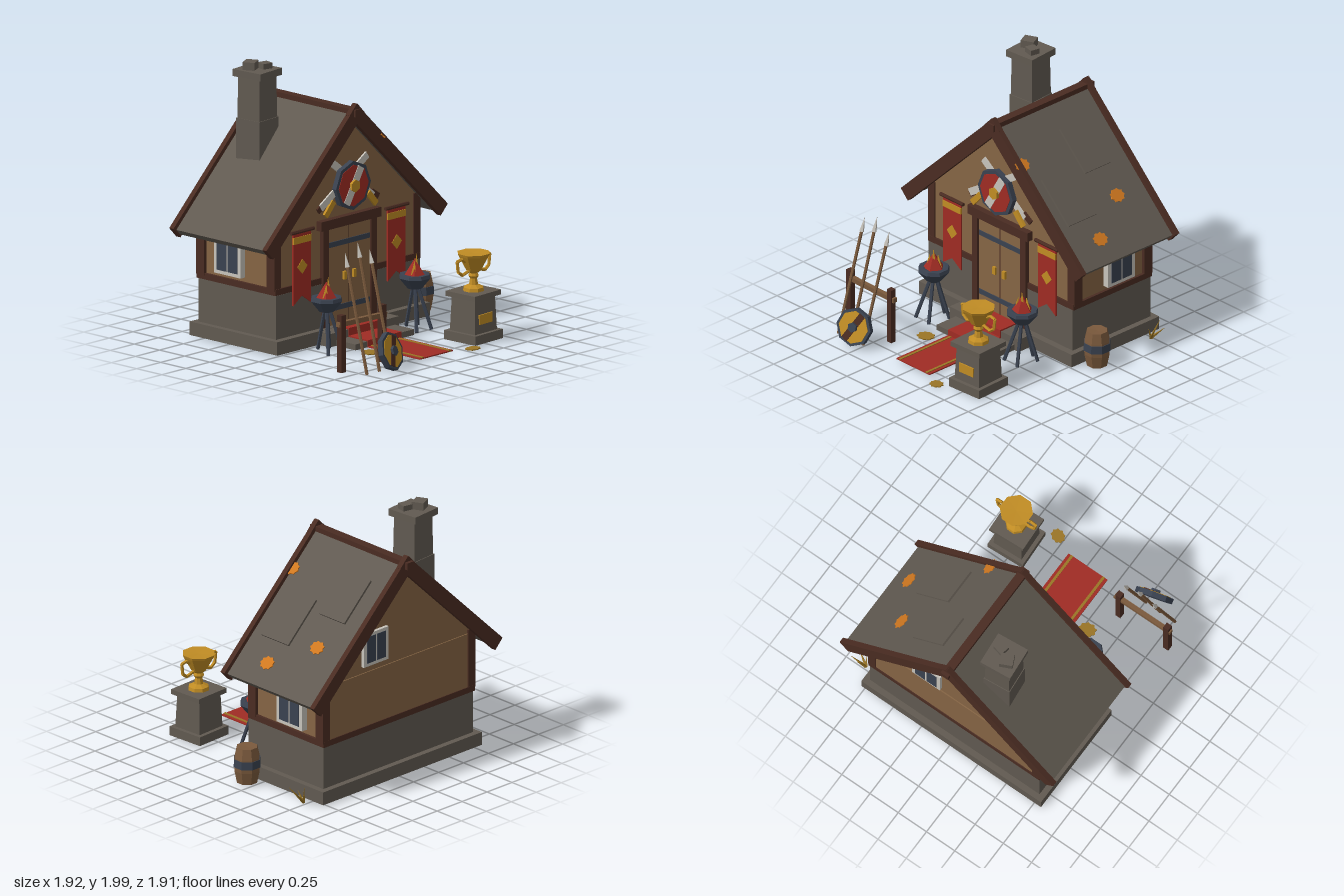
import * as THREE from 'three';

const mat = (name, color) => { const m = new THREE.MeshStandardMaterial({ color }); m.name = name; return m; };

export function createModel() {
  const stone = mat('stone', 0x615a51), dark = mat('dark timber', 0x4a2c22), plaster = mat('tan boards', 0x866544),
    brown = mat('brown wood', 0x7a593c), gold = mat('gold', 0xc08c24), straw = mat('dull straw', 0x9a7526),
    red = mat('red', 0xa02c24), steel = mat('blue steel', 0x3a4250), silver = mat('pale silver', 0xc8c4bc),
    orange = mat('autumn orange', 0xd07820);
  const root = new THREE.Group();
  const C = -0.015; // house centre line

  // Faceted mesh helper
  const add = (name, geo, m, p = [0, 0, 0], r = [0, 0, 0], parent = root) => {
    const g = geo.index ? geo.toNonIndexed() : geo;
    g.computeVertexNormals();
    const mesh = new THREE.Mesh(g, m);
    mesh.name = name; mesh.position.set(...p); mesh.rotation.set(...r);
    parent.add(mesh);
    return mesh;
  };
  const group = (name, p, r = [0, 0, 0]) => {
    const g = new THREE.Group();
    g.name = name; g.position.set(...p); g.rotation.set(...r); root.add(g);
    return g;
  };
  // Box from its minimum and maximum corners
  const block = (name, m, x0, x1, y0, y1, z0, z1, parent) =>
    add(name, new THREE.BoxGeometry(x1 - x0, y1 - y0, z1 - z0), m, [(x0 + x1) / 2, (y0 + y1) / 2, (z0 + z1) / 2], [0, 0, 0], parent);
  // Round rod between two points
  const rod = (name, m, a, b, r0, r1 = r0, sides = 6, parent = root) => {
    const A = new THREE.Vector3(...a), B = new THREE.Vector3(...b), d = B.clone().sub(A);
    const mesh = add(name, new THREE.CylinderGeometry(r1, r0, d.length(), sides), m, A.clone().add(B).multiplyScalar(0.5).toArray(), [0, 0, 0], parent);
    mesh.quaternion.setFromUnitVectors(new THREE.Vector3(0, 1, 0), d.normalize());
  };
  // Flat bar lying in the front plane
  const bar = (name, m, x0, y0, x1, y1, w, z, depth, parent) =>
    add(name, new THREE.BoxGeometry(Math.hypot(x1 - x0, y1 - y0), w, depth), m, [(x0 + x1) / 2, (y0 + y1) / 2, z], [0, 0, Math.atan2(y1 - y0, x1 - x0)], parent);
  const plate = (pts, depth) => new THREE.ExtrudeGeometry(new THREE.Shape(pts.map(p => new THREE.Vector2(...p))), { depth, bevelEnabled: false });
  const lathe = (pts, sides) => new THREE.LatheGeometry(pts.map(p => new THREE.Vector2(...p)), sides);

  // Plinth frame, open underneath
  for (const s of [-1, 1]) block('plinthSide', stone, C + s * 0.77 - 0.025, C + s * 0.77 + 0.025, 0.015, 0.115, -0.87, 0);
  for (const z of [-0.87, -0.055]) block('plinthEnd', stone, C - 0.745, C + 0.745, 0.015, 0.115, z, z + 0.055);

  // Walls and timber frame
  block('stoneBase', stone, C - 0.75, C + 0.75, 0.06, 0.44, -0.825, -0.053);
  block('sillBeam', dark, C - 0.757, C + 0.757, 0.44, 0.485, -0.837, -0.055);
  block('walls', plaster, C - 0.735, C + 0.735, 0.46, 0.9, -0.83, -0.07);
  add('gable', plate([[-0.735, 0.9], [0.735, 0.9], [0.735, 0.93], [0, 1.64], [-0.735, 0.93]], 0.752), plaster, [C, 0, -0.822]);
  for (const s of [-1, 1]) for (const z of [-0.098, -0.797])
    add('cornerPost', new THREE.BoxGeometry(0.07, 0.46, 0.078), dark, [C + s * 0.727, 0.7, z]);

  // Roof slopes, verge boards and ridge
  const A = 44 * Math.PI / 180, cos = Math.cos(A), sin = Math.sin(A);
  const onRoof = (name, geo, m, s, u, v, z) =>
    add(name, geo, m, [C + s * (cos * u + sin * v), 1.697 - sin * u + cos * v, z], [0, 0, -s * A]);
  for (const s of [-1, 1]) {
    onRoof('roofSlope', new THREE.BoxGeometry(1.272, 0.055, 0.9), stone, s, 0.636, -0.0275, -0.45);
    for (const z of [0.015, -0.908])
      onRoof('vergeBoard', new THREE.BoxGeometry(1.32, 0.105, 0.042), dark, s, 0.625, -0.0225, z);
  }
  block('ridgeBeam', dark, C - 0.033, C + 0.033, 1.65, 1.703, -0.955, 0.05);
  onRoof('roofPatch', new THREE.BoxGeometry(0.39, 0.02, 0.28), stone, 1, 0.715, 0.006, -0.235);
  onRoof('roofPatch', new THREE.BoxGeometry(0.37, 0.02, 0.255), stone, 1, 0.42, 0.006, -0.6);

  // Fallen leaves on roof and ground
  const leaf = (rx, rz) => {
    const pts = [];
    for (let i = 0; i < 18; i++) {
      const t = i / 18 * Math.PI * 2, k = i % 2 ? 0.82 : 1;
      pts.push([Math.cos(t) * rx * k, Math.sin(t) * rz * k]);
    }
    return plate(pts, 0.008).rotateX(-Math.PI / 2);
  };
  for (const [d, z] of [[0.262, -0.012], [0.608, -0.625], [0.783, -0.29]])
    onRoof('roofLeaf', leaf(0.055, 0.065), orange, 1, d / cos, 0.007, z);
  add('groundLeaf', leaf(0.07, 0.058), straw, [-0.29, 0.016, 0.425], [0.04, 0.3, 0]);
  add('groundLeaf', leaf(0.06, 0.05), straw, [0.3, 0.016, 0.885], [0, -0.3, 0.04]);

  // Chimney
  const chimney = group('chimney', [-0.33, 0, -0.655], [0, 0.09, 0]);
  block('chimneyBase', stone, -0.108, 0.108, 1.1, 1.58, -0.108, 0.108, chimney);
  add('chimneyShaft', new THREE.CylinderGeometry(0.137, 0.145, 0.34, 4).rotateY(Math.PI / 4), stone, [0, 1.74, 0], [0, 0, 0], chimney);
  block('chimneyCap', stone, -0.125, 0.125, 1.89, 1.942, -0.128, 0.128, chimney);
  add('chimneyStone', new THREE.BoxGeometry(0.1, 0.06, 0.09), stone, [-0.04, 1.97, -0.03], [0, 0.35, 0], chimney);
  add('chimneyStone', new THREE.BoxGeometry(0.08, 0.045, 0.075), stone, [0.045, 1.96, 0.035], [0, -0.3, 0], chimney);

  // Double door
  block('door', plaster, C - 0.23, C + 0.23, 0.11, 0.85, -0.1, -0.049);
  block('doorGap', dark, C - 0.003, C + 0.003, 0.11, 0.85, -0.06, -0.047);
  for (const y of [0.24, 0.715]) block('doorStrap', steel, C - 0.215, C + 0.215, y - 0.019, y + 0.019, -0.06, -0.042);
  for (const s of [-1, 1]) {
    block('doorPost', dark, C + s * 0.25 - 0.028, C + s * 0.25 + 0.028, 0.11, 0.85, -0.1, -0.033);
    block('doorHandle', gold, C + s * 0.05 - 0.014, C + s * 0.05 + 0.014, 0.438, 0.497, -0.06, -0.03);
  }
  block('doorLintel', dark, C - 0.312, C + 0.312, 0.84, 0.91, -0.1, -0.02);

  // Windows on both sides and the back
  const windowAt = (p, ry, scale) => {
    const g = group('window', p, [0, ry, 0]);
    g.scale.setScalar(scale);
    block('windowFrame', silver, -0.133, 0.133, -0.137, 0.137, -0.02, 0.04, g);
    for (const s of [-1, 1]) block('windowPane', steel, s * 0.054 - 0.047, s * 0.054 + 0.047, -0.11, 0.11, 0.03, 0.044, g);
  };
  windowAt([C + 0.743, 0.655, -0.508], Math.PI / 2, 1);
  windowAt([C - 0.743, 0.655, -0.508], -Math.PI / 2, 1);
  windowAt([0.225, 1.08, -0.81], Math.PI, 0.93);

  // Steps and carpet
  block('upperStep', stone, -0.375, 0.345, 0.015, 0.113, 0, 0.11);
  block('lowerStep', stone, -0.31, 0.3, 0.015, 0.058, 0.05, 0.3);
  block('carpetUpper', red, -0.185, 0.16, 0.016, 0.125, -0.05, 0.118);
  block('carpetLower', red, -0.185, 0.16, 0.016, 0.068, 0, 0.308);
  block('carpetRunner', red, -0.185, 0.16, 0.014, 0.023, 0.3, 0.82);
  for (const x of [-0.152, 0.128]) block('carpetTrim', straw, x - 0.01, x + 0.01, 0.014, 0.028, 0.312, 0.82);

  // Banners
  for (const x of [-0.507, 0.478]) {
    rod('bannerRod', dark, [x - 0.12, 0.878, -0.04], [x + 0.12, 0.878, -0.04], 0.014);
    add('bannerCloth', plate([[-0.092, 0.87], [-0.092, 0.335], [0, 0.4], [0.092, 0.335], [0.092, 0.87]], 0.012), red, [x, 0, -0.053]);
    block('bannerStripe', gold, x - 0.093, x + 0.093, 0.79, 0.84, -0.05, -0.036);
    add('bannerDiamond', plate([[-0.052, 0.615], [0, 0.56], [0.052, 0.615], [0, 0.67]], 0.006), gold, [x, 0, -0.043]);
  }

  // Crossed blades and shields
  bar('blade', silver, -0.19, 1.322, 0.24, 1.0, 0.055, -0.05, 0.014);
  bar('blade', silver, 0.165, 1.322, -0.315, 1.012, 0.055, -0.036, 0.014);
  for (const s of [-1, 1]) {
    bar('guard', dark, C + s * 0.24, 1.035, C + s * 0.315, 0.985, 0.042, -0.055, 0.016);
    bar('grip', gold, C + s * 0.18, 1.04, C + s * 0.265, 0.945, 0.045, -0.028, 0.02);
  }
  const shield = (name, p, r, rot, face, bandMat, bossMat) => {
    const g = group(name, p, rot);
    const disc = (n, m, rad, d, z, sides) => add(n, new THREE.CylinderGeometry(rad, rad, d, sides).rotateX(Math.PI / 2), m, [0, 0, z], [0, 0, 0], g);
    disc('shieldRim', steel, r, 0.04, 0, 8);
    disc('shieldFace', face, r * 0.85, 0.01, 0.019, 8);
    bar('shieldBand', bandMat, -r * 0.41, -r * 0.7, r * 0.41, r * 0.7, r * 0.36, 0.024, 0.008, g);
    disc('shieldBoss', bossMat, r * 0.26, 0.03, 0.03, 6);
  };
  shield('gableShield', [C, 1.13, -0.02], 0.182, [0, 0, 0], red, silver, gold);
  shield('leaningShield', [-0.555, 0.157, 0.88], 0.143, [-0.3, 0.26, 0, 'YXZ'], gold, dark, steel);

  // Spear rack
  for (const x of [-0.832, -0.408]) block('rackPost', dark, x - 0.022, x + 0.022, 0.015, 0.44, 0.635, 0.68);
  bar('rackRail', brown, -0.865, 0.372, -0.37, 0.36, 0.036, 0.655, 0.035);
  for (const [x, top] of [[-0.75, 0.875], [-0.62, 0.93], [-0.495, 0.855]]) {
    const a = new THREE.Vector3(x - 0.012, 0.015, 0.845), b = new THREE.Vector3(x + 0.01, top, 0.605);
    const at = t => a.clone().lerp(b, t).toArray();
    rod('spearShaft', brown, at(0), at(0.89), 0.012);
    rod('spearHead', silver, at(0.88), at(1), 0.019, 0.001, 5);
  }

  // Braziers
  for (const x of [-0.475, 0.445]) {
    const g = group('brazier', [x, 0, 0.17]);
    for (const [lx, lz] of [[-0.085, 0.1], [0.06, 0.11], [0.095, -0.06], [0.01, -0.095]])
      rod('brazierLeg', steel, [lx, 0.015, lz], [lx * 0.1, 0.36, lz * 0.1], 0.014, 0.014, 5, g);
    add('brazierBowl', lathe([[0, 0.315], [0.055, 0.315], [0.12, 0.395], [0.112, 0.42], [0.085, 0.42], [0, 0.4]], 8), steel, [0, 0, 0], [0, 0.39, 0], g);
    add('embers', new THREE.ConeGeometry(0.085, 0.13, 5), red, [0, 0.47, 0], [0, 0.4, 0], g);
    for (const [fx, fz, h] of [[0.01, 0.01, 0.15], [-0.035, 0.02, 0.1], [0.035, -0.02, 0.1]])
      rod('flame', gold, [fx, 0.42, fz], [fx * 0.6, 0.42 + h, fz], 0.027, 0.001, 4, g);
  }

  // Pedestal with trophy
  const ped = group('pedestal', [0.52, 0, 0.68], [0, 0.05, 0]);
  block('pedestalFoot', stone, -0.15, 0.15, 0.015, 0.083, -0.15, 0.15, ped);
  add('pedestalColumn', new THREE.CylinderGeometry(0.155, 0.17, 0.26, 4).rotateY(Math.PI / 4), stone, [0, 0.21, 0], [0, 0, 0], ped);
  block('pedestalCap', stone, -0.145, 0.145, 0.338, 0.375, -0.138, 0.138, ped);
  block('plaque', gold, -0.075, 0.065, 0.15, 0.222, 0.1, 0.124, ped);
  const cup = group('trophy', [0.522, 0, 0.68]);
  add('trophyCup', lathe([[0, 0.375], [0.08, 0.375], [0.075, 0.4], [0.035, 0.42], [0.026, 0.465], [0.04, 0.485], [0.03, 0.505],
    [0.055, 0.525], [0.115, 0.635], [0.123, 0.655], [0, 0.65]], 8), gold, [0, 0, 0], [0, Math.PI / 8, 0], cup);
  const handle = [[0.09, 0.6], [0.125, 0.625], [0.17, 0.615], [0.16, 0.535], [0.12, 0.505], [0.05, 0.525]];
  for (const s of [-1, 1]) for (let i = 0; i < 5; i++)
    rod('trophyHandle', gold, [s * handle[i][0], handle[i][1], 0], [s * handle[i + 1][0], handle[i + 1][1], 0], 0.0125, 0.0125, 5, cup);

  // Barrel
  const barrel = group('barrel', [0.864, 0, -0.172]);
  add('barrelStaves', lathe([[0, 0.015], [0.078, 0.015], [0.098, 0.11], [0.1, 0.17], [0.096, 0.21], [0.078, 0.29], [0, 0.285]], 8), brown, [0, 0, 0], [0, 0.39, 0], barrel);
  add('barrelHoop', new THREE.CylinderGeometry(0.102, 0.104, 0.06, 8), steel, [0, 0.17, 0], [0, 0.39, 0], barrel);

  // Dry grass tuft
  for (const [dx, dz, h] of [[0.11, -0.03, 0.11], [0.1, 0.05, 0.13], [0.02, 0.04, 0.09], [0.04, -0.05, 0.14]])
    rod('grassBlade', straw, [0.84, 0.015, -0.73], [0.84 + dx, 0.015 + h, -0.73 + dz], 0.013, 0.001, 4);

  return root;
}
